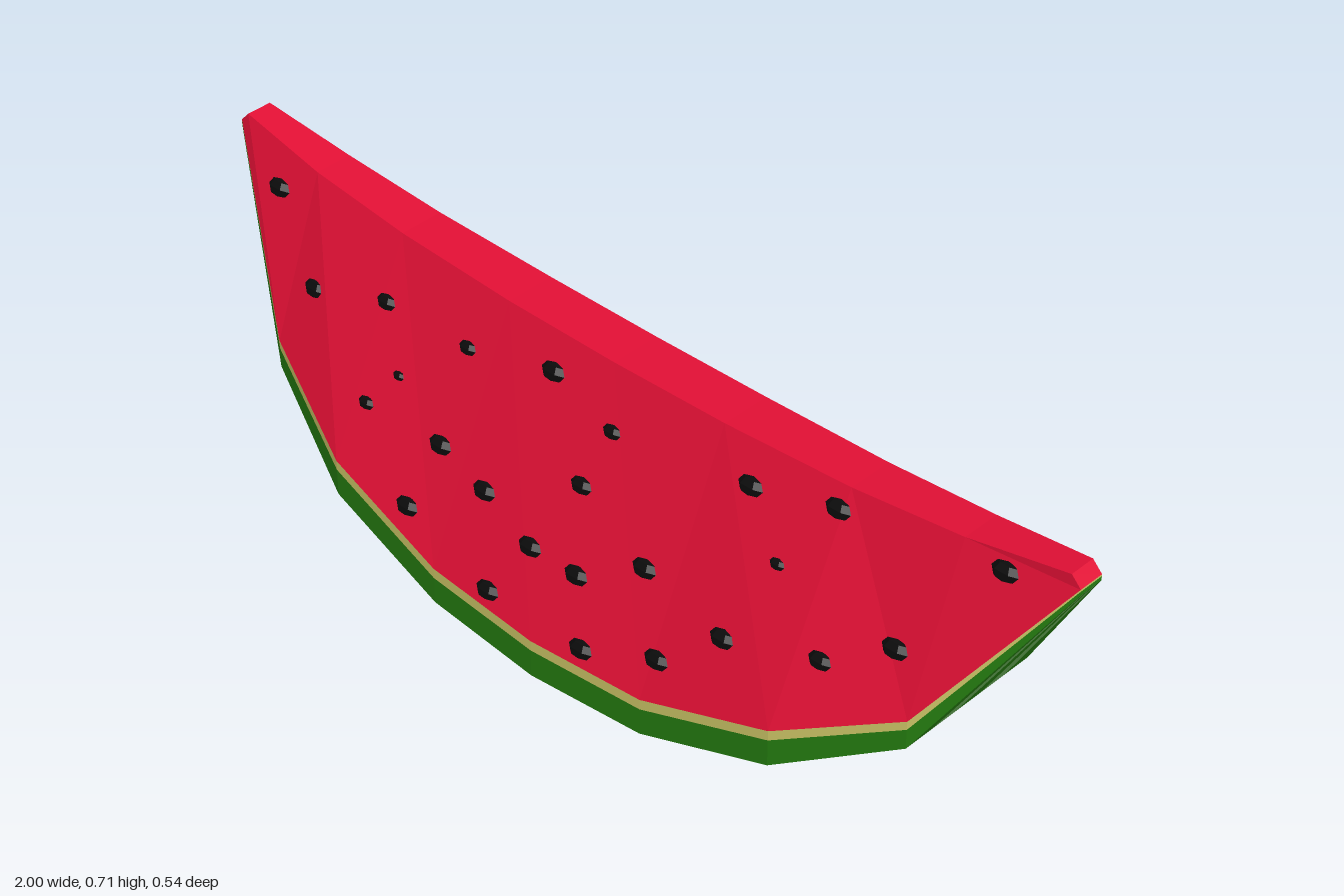
import * as THREE from 'three';

const RED = 0xe31035, CREAM = 0xcfc868, GREEN = 0x257d10, STRIPE = 0x68ad58, BLACK = 0x0b0b0b;

// Half of the stations along x, centre to tip:
// w half width, low = outer skin heights (middle, inner, outer), rind and cream tops, ridge half width and height
const HALF = [
  { x: 0, w: 0.27, low: [0, 0.025, 0.062], rind: 0.121, cream: 0.143, rz: 0.053, ry: 0.645 },
  { x: 0.26, w: 0.26, low: [0.02, 0.038, 0.077], rind: 0.134, cream: 0.156, rz: 0.052, ry: 0.648 },
  { x: 0.54, w: 0.238, low: [0.103, 0.122, 0.165], rind: 0.222, cream: 0.243, rz: 0.047, ry: 0.659 },
  { x: 0.775, w: 0.16, low: [0.3, 0.3, 0.3], rind: 0.342, cream: 0.36, rz: 0.04, ry: 0.681 },
  { x: 1, w: 0.027, low: [0.68, 0.68, 0.68], rind: 0.688, cream: 0.692, rz: 0.027, ry: 0.713, ridgeX: 0.98 },
];
const STATIONS = [...HALF.slice(1).reverse().map((s) => ({ ...s, x: -s.x, ridgeX: s.ridgeX && -s.ridgeX })), ...HALF];

// Cross-section from the front ridge edge, down under the rind and up to the back ridge edge
function ring(s) {
  const front = [
    [s.ridgeX ?? s.x, s.ry, s.rz], [s.x, s.cream, s.w], [s.x, s.rind, s.w],
    [s.x, s.low[2], s.w], [s.x, s.low[1], s.w * 0.6], [s.x, s.low[0], s.w * 0.2],
  ];
  return [...front, ...front.map(([x, y, z]) => [x, y, -z]).reverse()];
}
const RINGS = STATIONS.map(ring);

// One part made of lengthwise bands, with optional end caps
function bandPart(name, color, bands, cap) {
  const pos = [];
  const quad = (a, b, c, d) => pos.push(...a, ...b, ...c, ...a, ...c, ...d);
  for (const i of bands) {
    const k = (i + 1) % 12;
    for (let j = 0; j < RINGS.length - 1; j++) {
      quad(RINGS[j][i], RINGS[j][k], RINGS[j + 1][k], RINGS[j + 1][i]);
    }
  }
  if (cap !== undefined) {
    const corners = (r) => [r[cap], r[cap + 1], r[10 - cap], r[11 - cap]];
    quad(...corners(RINGS[RINGS.length - 1]));
    quad(...corners(RINGS[0]).reverse());
  }
  const geo = new THREE.BufferGeometry();
  geo.setAttribute('position', new THREE.Float32BufferAttribute(pos, 3));
  geo.computeVertexNormals();
  const mesh = new THREE.Mesh(geo, new THREE.MeshStandardMaterial({ color, flatShading: true }));
  mesh.name = name;
  return mesh;
}

// Depth of the cut flesh face at a given x and y
function fleshZ(x, y) {
  const ax = Math.abs(x);
  const i = Math.min(HALF.length - 2, HALF.findIndex((s, n) => n === 3 || ax < HALF[n + 1].x));
  const a = HALF[i], b = HALF[i + 1], t = (ax - a.x) / (b.x - a.x);
  const mix = (key) => THREE.MathUtils.lerp(a[key], b[key], t);
  return THREE.MathUtils.mapLinear(y, mix('cream'), mix('ry'), mix('w'), mix('rz'));
}

// Seeds as x, y, size
const SEEDS = [
  [-0.86, 0.62, 1], [-0.71, 0.49, 1], [-0.53, 0.54, 0.85], [-0.32, 0.54, 0.75], [-0.12, 0.58, 1],
  [0.04, 0.54, 0.75], [0.35, 0.58, 1], [0.53, 0.62, 1], [0.865, 0.665, 1], [0.715, 0.463, 1],
  [0.45, 0.49, 0.6], [0.59, 0.388, 0.9], [0.39, 0.332, 1], [0.19, 0.363, 1], [0.01, 0.432, 0.9],
  [-0.455, 0.435, 0.5], [-0.51, 0.364, 0.7], [-0.32, 0.363, 1], [-0.195, 0.332, 1], [-0.06, 0.29, 1],
  [0.055, 0.29, 1], [-0.355, 0.235, 1], [0.27, 0.235, 1], [-0.125, 0.18, 1], [0.11, 0.18, 1],
];

export function createModel() {
  const model = new THREE.Group();
  model.name = 'melonSlice';

  model.add(
    bandPart('flesh', RED, [0, 10, 11], 0),
    bandPart('innerRind', CREAM, [1, 9], 1),
    bandPart('rind', GREEN, [2, 3, 5, 7, 8], 2),
    bandPart('rindStripes', STRIPE, [4, 6]),
  );

  // Seeds pressed into both cut faces
  const seedGeo = new THREE.SphereGeometry(1, 6, 4);
  const seedMat = new THREE.MeshStandardMaterial({ color: BLACK, flatShading: true });
  for (const side of [1, -1]) {
    const seeds = new THREE.Group();
    seeds.name = side > 0 ? 'frontSeeds' : 'backSeeds';
    for (const [x, y, size] of SEEDS) {
      const seed = new THREE.Mesh(seedGeo, seedMat);
      seed.name = 'seed';
      seed.position.set(x, y, side * (fleshZ(x, y) + 0.002));
      seed.rotation.x = -side * 0.4;
      seed.scale.set(0.028, 0.018, 0.014).multiplyScalar(size);
      seeds.add(seed);
    }
    model.add(seeds);
  }
  return model;
}
